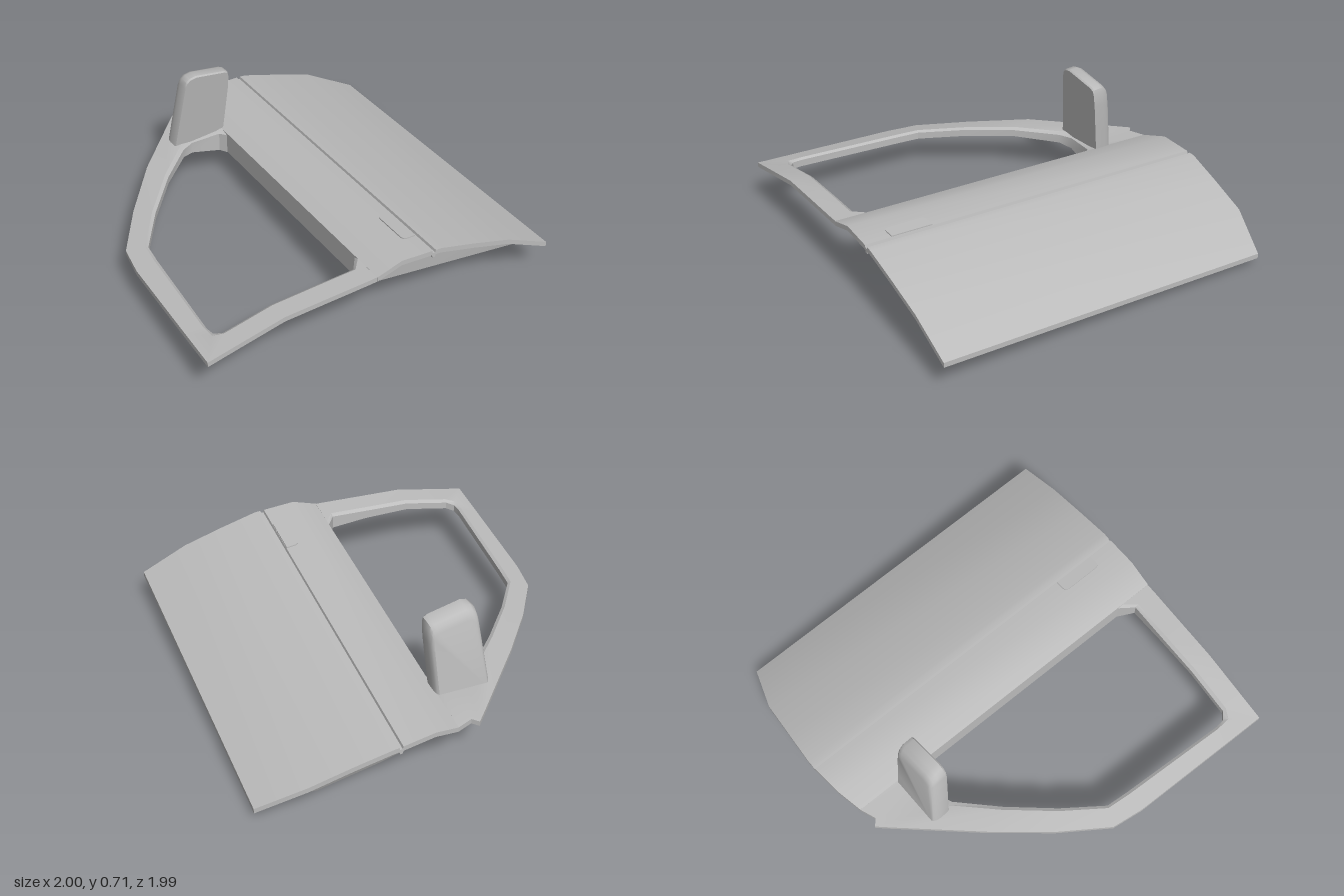
import * as THREE from 'three';
import { toCreasedNormals } from 'three/addons/utils/BufferGeometryUtils.js';

const SHEAR = 0.046, SLOPE = 0.06;

// Curved outer profile of the door: [u, height], with a narrow trim groove
const PROFILE = [
  [-0.96, 0.27], [-0.56, 0.36], [-0.06, 0.385], [0.075, 0.43], [0.247, 0.4185],
  [0.251, 0.404], [0.264, 0.404], [0.268, 0.417], [0.3, 0.415], [0.5, 0.362],
  [0.71, 0.3], [0.955, 0.185],
];
// Back edge of the skin: [u, z]
const BACK = [[-0.06, -0.96], [0.075, -0.99], [0.25, -1], [0.3, -1], [0.71, -0.955], [0.955, -0.87]];

function lerpTable(table, u) {
  let i = 1;
  while (i < table.length - 1 && u > table[i][0]) i++;
  const [a, b] = [table[i - 1], table[i]];
  return a[1] + (b[1] - a[1]) * (u - a[0]) / (b[0] - a[0]);
}

const tilt = z => SLOPE * (z - 0.95);
const surface = (x, z) => lerpTable(PROFILE, x + SHEAR * z) + tilt(z);
// Point on the skin, lowered by d
const onSkin = (x, z, d = 0) => [x, surface(x, z) - d, z];
const onSkinU = (u, z, d = 0) => onSkin(u - SHEAR * z, z, d);

// Joins closed cross-sections into a capped solid
function loft(rings, crease = 0.6) {
  const pos = [], n = rings[0].length, last = rings[rings.length - 1];
  const tri = (...p) => p.forEach(v => pos.push(...v));
  for (let i = 0; i < rings.length - 1; i++) {
    for (let j = 0; j < n; j++) {
      const k = (j + 1) % n;
      const a = rings[i][j], b = rings[i][k], c = rings[i + 1][k], d = rings[i + 1][j];
      tri(a, d, c);
      tri(a, c, b);
    }
  }
  for (let j = 1; j < n - 1; j++) {
    tri(rings[0][0], rings[0][j], rings[0][j + 1]);
    tri(last[0], last[j + 1], last[j]);
  }
  const geo = new THREE.BufferGeometry();
  geo.setAttribute('position', new THREE.Float32BufferAttribute(pos, 3));
  return toCreasedNormals(geo, crease);
}

export function createModel() {
  const group = new THREE.Group();
  const paint = new THREE.MeshStandardMaterial({ color: 0xbcbcbc });
  paint.name = 'grey paint';
  const add = (name, geo) => {
    const mesh = new THREE.Mesh(geo, paint);
    mesh.name = name;
    group.add(mesh);
  };

  // Outer skin of the lower door
  const skin = PROFILE.filter(p => p[0] >= -0.06).reverse().map(([u]) => {
    const back = lerpTable(BACK, u), front = 0.943 + 0.047 * u;
    return [onSkinU(u, back), onSkinU(u, front), onSkinU(u, front, 0.027), onSkinU(u, back, 0.027)];
  });
  add('outerSkin', loft(skin));

  // Window frame: outer x, z, inner x, z, inner depth
  const frame = [
    [-0.016, -0.96, -0.034, -0.56, 0.125],
    [-0.10, -0.93, -0.06, -0.60, 0.12],
    [-0.13, -0.96, -0.22, -0.615, 0.075],
    [-0.19, -0.90, -0.29, -0.585, 0.06],
    [-0.53, -0.55, -0.48, -0.41, 0.05],
    [-0.75, -0.29, -0.67, -0.20, 0.05],
    [-0.92, -0.05, -0.82, 0.00, 0.05],
    [-0.95, 0.12, -0.835, 0.12, 0.05],
    [-0.985, 0.66, -0.89, 0.70, 0.05],
    [-1.00, 0.90, -0.885, 0.75, 0.05],
    [-0.86, 0.905, -0.85, 0.78, 0.05],
    [-0.60, 0.915, -0.60, 0.79, 0.05],
    [-0.35, 0.927, -0.35, 0.80, 0.06],
    [-0.15, 0.937, -0.15, 0.81, 0.085],
    [-0.104, 0.938, -0.094, 0.74, 0.125],
  ].map(([ox, oz, ix, iz, depth]) => {
    const t = 0.86, mx = ox + (ix - ox) * t, mz = oz + (iz - oz) * t;
    return [onSkin(ox, oz), onSkin(mx, mz), onSkin(ix, iz, 0.012),
      onSkin(ix, iz, depth), onSkin(ox, oz, 0.027)];
  });
  add('windowFrame', loft(frame, 0.5));

  // Deep inner panel: top u, bottom u, back z at top, back z at bottom
  const floor = (u, z) => [u - SHEAR * z, 0.267 - 0.169 * (u + 0.08) + tilt(z), z];
  const panel = [
    [0.89, 0.865, -0.84, -0.77],
    [0.71, 0.63, -0.90, -0.845],
    [0.30, 0.30, -0.93, -0.85],
    [0.075, 0.075, -0.92, -0.84],
    [-0.06, -0.06, -0.85, -0.76],
  ].map(([ut, ub, zt, zb]) => [
    onSkinU(ut, zt, 0.018), onSkinU(ut, 0.85, 0.018), floor(ub, 0.83), floor(ub, zb),
  ]);
  add('innerPanel', loft(panel, 0.45));

  // Door handle plate with rounded outer corners
  const s = new THREE.Shape();
  s.moveTo(0.245, -0.81);
  s.lineTo(0.245, -0.585);
  s.lineTo(0.197, -0.585);
  s.quadraticCurveTo(0.175, -0.585, 0.175, -0.615);
  s.lineTo(0.175, -0.78);
  s.quadraticCurveTo(0.175, -0.81, 0.197, -0.81);
  s.closePath();
  const handle = new THREE.ExtrudeGeometry(s, { depth: 0.008, bevelEnabled: false, curveSegments: 5 });
  const p = handle.attributes.position;
  for (let i = 0; i < p.count; i++) {
    p.setXYZ(i, ...onSkinU(p.getX(i), -p.getY(i), 0.002 - p.getZ(i)));
  }
  handle.computeVertexNormals();
  add('handlePlate', handle);

  // Wing mirror: flat glass side, rounded back, leaning forward
  const outline = [
    [-0.32, 0.25], [-0.02, 0.26], [-0.01, 0.41], [0, 0.57], [0, 0.645], [-0.006, 0.668],
    [-0.025, 0.68], [-0.20, 0.71], [-0.235, 0.703], [-0.255, 0.685], [-0.265, 0.655],
  ];
  const mirror = [[0, 0.985], [0.008, 1], [0.055, 1], [0.08, 0.97], [0.093, 0.93], [0.1, 0.87]]
    .map(([t, k]) => outline.map(([x, y]) => {
      const px = -0.15 + (x + 0.15) * k, py = 0.25 + (y - 0.25) * k;
      return [px, py, -0.62 - t + 0.125 * (py - 0.33)];
    }));
  add('wingMirror', loft(mirror, 0.7));

  return group;
}
